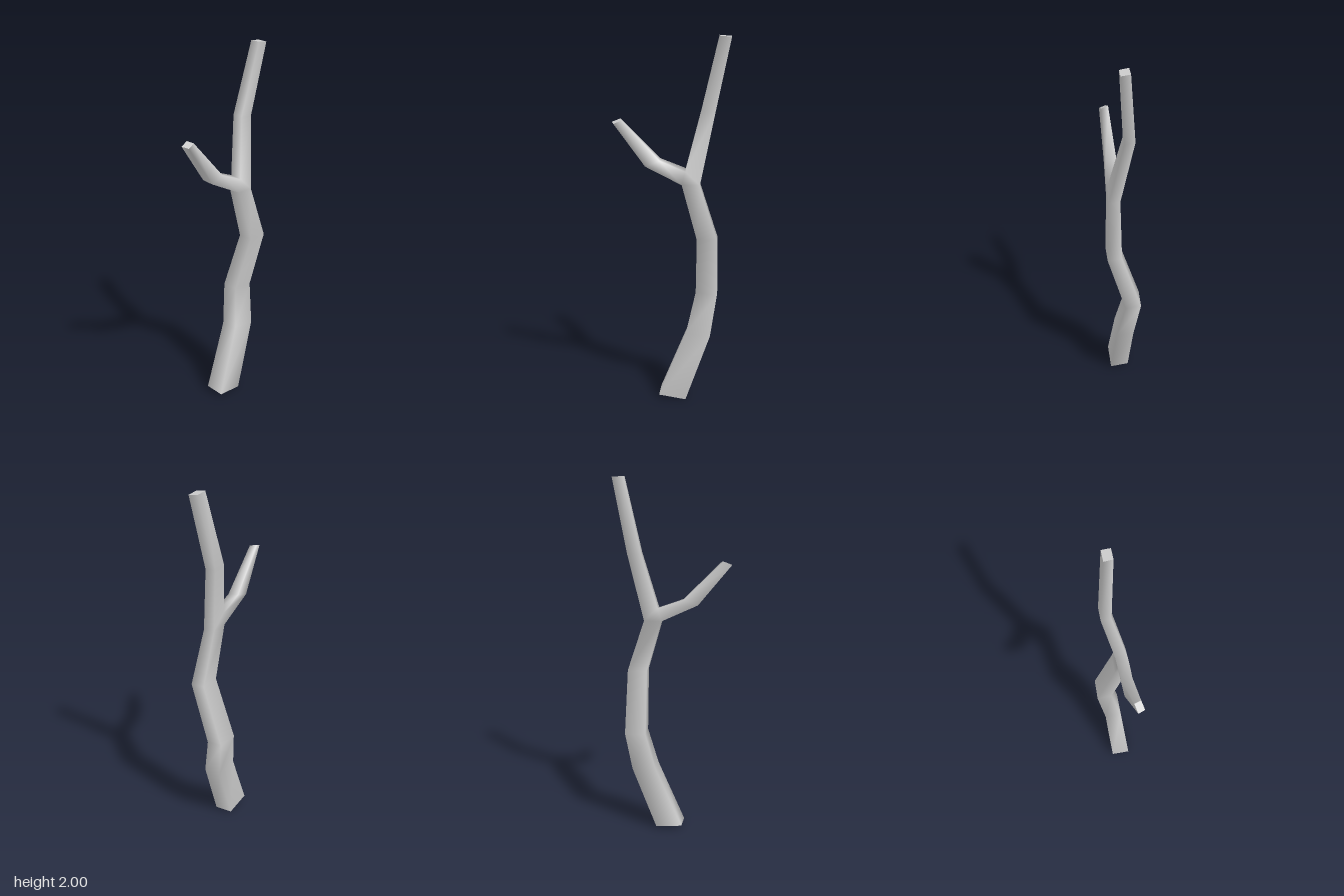
import * as THREE from 'three';

// Rings of four corners, counter-clockwise seen from the growing end.
// Trunk order: back left, front left, front right, back right.
const trunkRings = [
  [[-0.07, 0.03, -0.03], [-0.06, 0.02, 0.075], [0.09, 0, 0.06], [0.078, 0.01, -0.042]],
  [[0.075, 0.39, -0.058], [0.085, 0.39, 0.036], [0.22, 0.38, 0.028], [0.21, 0.38, -0.066]],
  [[0.12, 0.615, -0.099], [0.13, 0.615, -0.014], [0.248, 0.605, -0.02], [0.237, 0.61, -0.105]],
  [[0.142, 0.95, 0.006], [0.152, 0.945, 0.084], [0.26, 0.945, 0.075], [0.249, 0.95, 0]],
];

// Fork: the trunk's left edge splits open into the start of the side branch.
const forkLower = [[0.06, 1.24, 0.012], [0.068, 1.235, 0.077], [0.163, 1.235, 0.065], [0.153, 1.24, 0.005]];
const forkUpper = [[0.075, 1.315, 0.004], [0.084, 1.305, 0.066], forkLower[2], forkLower[3]];

const leaderRings = [
  [[0.145, 1.62, -0.058], [0.154, 1.615, -0.006], [0.228, 1.61, -0.011], [0.219, 1.615, -0.064]],
  [[0.24, 2, -0.03], [0.25, 1.995, 0.015], [0.31, 1.99, 0.01], [0.302, 1.995, -0.036]],
];

// Branch order: lower back, lower front, upper front, upper back.
const branchRings = [
  [forkLower[0], forkLower[1], forkUpper[1], forkUpper[0]],
  [[-0.14, 1.34, 0.026], [-0.128, 1.328, 0.084], [-0.05, 1.358, 0.074], [-0.062, 1.366, 0.018]],
  [[-0.31, 1.557, 0.069], [-0.292, 1.55, 0.103], [-0.25, 1.567, 0.089], [-0.266, 1.575, 0.055]],
];

function meshFrom(name, positions, index, material) {
  const geometry = new THREE.BufferGeometry();
  geometry.setAttribute('position', new THREE.Float32BufferAttribute(positions, 3));
  geometry.setIndex(index);
  geometry.computeVertexNormals();
  const mesh = new THREE.Mesh(geometry, material);
  mesh.name = name;
  return mesh;
}

export function createModel() {
  const group = new THREE.Group();
  group.name = 'forkedBranch';
  const material = new THREE.MeshStandardMaterial({ color: 0xcccccc });

  // Bark: one smooth skin; corners shared by several rings are stored once
  const ids = new Map(), positions = [], index = [];
  const id = (p) => {
    if (!ids.has(p)) {
      ids.set(p, ids.size);
      positions.push(...p);
    }
    return ids.get(p);
  };
  const tri = (a, b, c) => index.push(id(a), id(b), id(c));
  const loft = (rings) => {
    for (let r = 0; r < rings.length - 1; r++) {
      const a = rings[r], b = rings[r + 1];
      for (let i = 0; i < 4; i++) {
        const j = (i + 1) % 4;
        tri(a[i], a[j], b[j]);
        tri(a[i], b[j], b[i]);
      }
    }
  };
  loft([...trunkRings, forkLower]);
  loft([forkUpper, ...leaderRings]);
  loft(branchRings);

  // Wedges in front of and behind the fork
  tri(forkLower[1], forkLower[2], forkUpper[1]);
  tri(forkLower[3], forkLower[0], forkUpper[0]);
  group.add(meshFrom('bark', positions, index, material));

  // Flat cut ends
  const cap = (name, ring, flip) =>
    group.add(meshFrom(name, ring.flat(), flip ? [0, 2, 1, 0, 3, 2] : [0, 1, 2, 0, 2, 3], material));
  cap('trunkCut', trunkRings[0], true);
  cap('leaderCut', leaderRings[1], false);
  cap('sideBranchCut', branchRings[2], false);

  return group;
}
